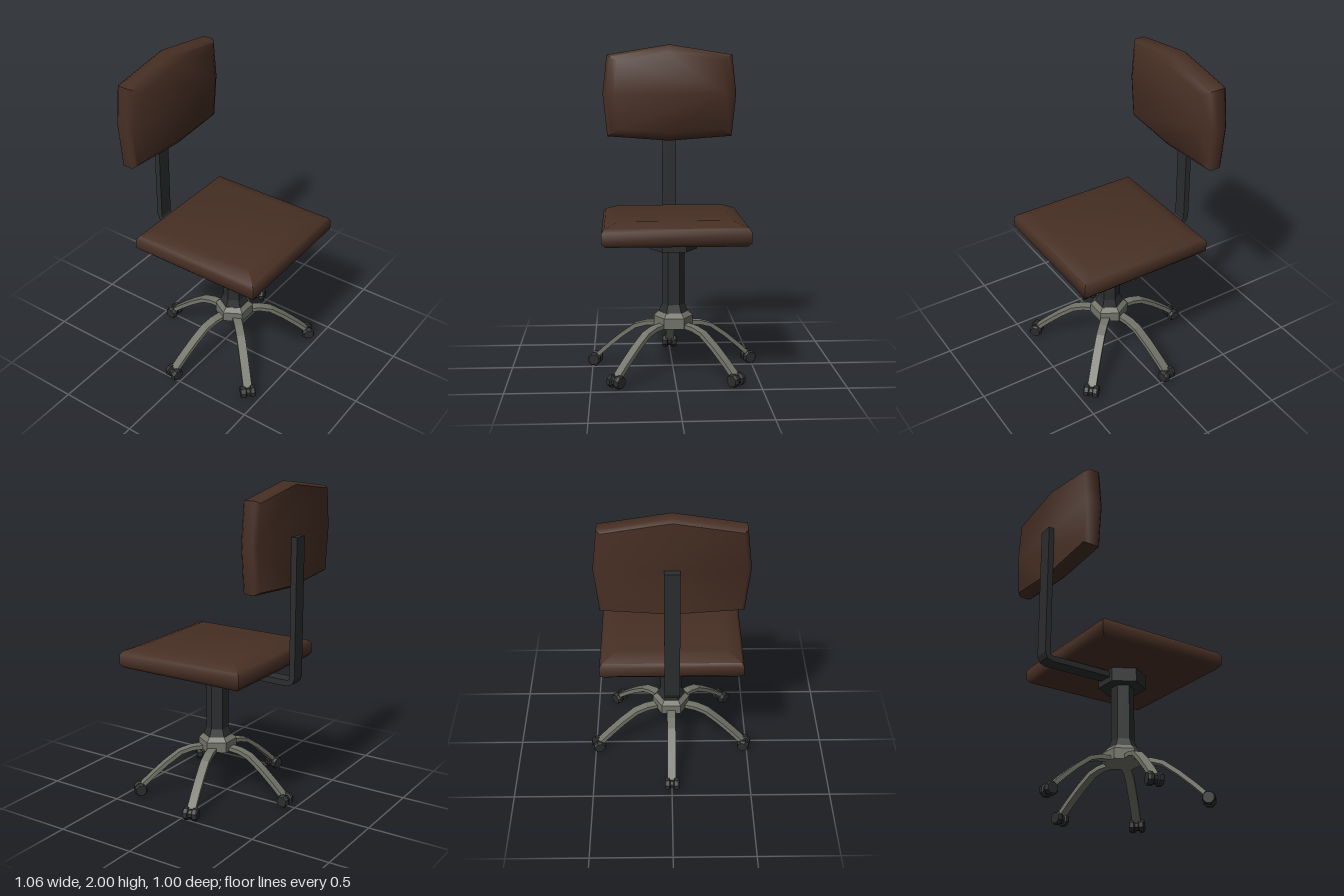
import * as THREE from 'three';
import { toCreasedNormals } from 'three/addons/utils/BufferGeometryUtils.js';

const CZ = 0.07; // z of the column axis

// Joins equal-sized rings of points into a closed solid with flat end caps.
function loft(rings, crease) {
  const pos = [];
  const tri = (...pts) => pts.forEach((p) => pos.push(p.x, p.y, p.z));
  const n = rings[0].length;
  for (let i = 0; i < rings.length - 1; i++) {
    for (let j = 0; j < n; j++) {
      const k = (j + 1) % n;
      const [a, b, c, d] = [rings[i][j], rings[i][k], rings[i + 1][k], rings[i + 1][j]];
      tri(a, b, c);
      tri(a, c, d);
    }
  }
  const first = rings[0], last = rings[rings.length - 1];
  for (let j = 1; j < n - 1; j++) {
    tri(first[0], first[j + 1], first[j]);
    tri(last[0], last[j], last[j + 1]);
  }
  const g = new THREE.BufferGeometry();
  g.setAttribute('position', new THREE.Float32BufferAttribute(pos, 3));
  return toCreasedNormals(g, crease);
}

// Cushion: an outline in xy, scaled about its origin at each [z, scale] layer.
function cushion(outline, layers) {
  return loft(layers.map(([z, s]) => outline.map(([x, y]) => new THREE.Vector3(x * s, y * s, z))), 0.85);
}

// Flat bar of half width w and half thickness t along a path of [z, y] points.
function strip(path, w, t) {
  const rings = path.map(([z, y], i) => {
    const p = path[Math.max(i - 1, 0)], q = path[Math.min(i + 1, path.length - 1)];
    const len = Math.hypot(q[0] - p[0], q[1] - p[1]);
    const nz = (-(q[1] - p[1]) / len) * t, ny = ((q[0] - p[0]) / len) * t;
    return [[w, 1], [-w, 1], [-w, -1], [w, -1]].map(([x, s]) => new THREE.Vector3(x, y + ny * s, z + nz * s));
  });
  return loft(rings, 0.1);
}

// Six-sided section with corners on the x axis.
function hex(rTop, rBottom, y0, y1) {
  const g = new THREE.CylinderGeometry(rTop, rBottom, y1 - y0, 6, 1, false, Math.PI / 6);
  g.translate(0, (y0 + y1) / 2, CZ);
  return toCreasedNormals(g, 0.1);
}

export function createModel() {
  const model = new THREE.Group();
  const material = (name, color) => {
    const m = new THREE.MeshStandardMaterial({ color });
    m.name = name;
    return m;
  };
  const brown = material('brown upholstery', 0x472f24);
  const black = material('black plastic', 0x2c2d2e);
  const metal = material('grey metal', 0x74756a);

  const add = (name, geometry, mat, parent = model) => {
    const mesh = new THREE.Mesh(geometry, mat);
    mesh.name = name;
    parent.add(mesh);
    return mesh;
  };

  // Seat: square cushion with a chamfered top
  const square = [[0.43, 0.43], [-0.43, 0.43], [-0.43, -0.43], [0.43, -0.43]];
  const seat = cushion(square, [[0.845, 0.95], [0.868, 1], [0.93, 1], [0.952, 0.965], [0.984, 0.765]]);
  seat.rotateX(-Math.PI / 2).translate(0, 0, CZ);
  add('seat', seat, brown);

  // Backrest: eight-sided cushion, peaked at the top
  const shield = [[0.43, 0], [0.402, 0.245], [0, 0.31], [-0.402, 0.245],
    [-0.43, 0], [-0.402, -0.275], [0, -0.305], [0.402, -0.275]];
  const back = cushion(shield, [[-0.467, 0.95], [-0.445, 1], [-0.38, 1], [-0.36, 0.95], [-0.33, 0.83]]);
  back.translate(0, 1.69, 0);
  add('backrest', back, brown);

  // Bent bar from under the seat up to the backrest
  add('backrestBar', strip([[-0.03, 0.813], [-0.455, 0.813], [-0.478, 0.822], [-0.487, 0.845], [-0.487, 1.69]],
    0.045, 0.018), black);

  // Column
  add('seatMount', hex(0.145, 0.145, 0.76, 0.85), black);
  add('column', hex(0.07, 0.07, 0.42, 0.76), black);
  add('columnFlare', hex(0.07, 0.092, 0.365, 0.42), black);
  add('hubTop', hex(0.092, 0.12, 0.345, 0.372), metal);
  add('hub', hex(0.12, 0.12, 0.28, 0.345), metal);

  // Five legs with twin-wheel casters
  const legGeometry = strip([[0.07, 0.296], [0.17, 0.289], [0.24, 0.268], [0.33, 0.203], [0.42, 0.126], [0.49, 0.06]],
    0.027, 0.013);
  const profile = [[0, -0.046], [0.034, -0.046], [0.041, -0.036], [0.041, -0.016], [0.03, -0.01],
    [0.03, 0.01], [0.041, 0.016], [0.041, 0.036], [0.034, 0.046], [0, 0.046]];
  const wheel = new THREE.LatheGeometry(profile.map(([r, y]) => new THREE.Vector2(r, y)), 8, Math.PI / 8);
  wheel.rotateZ(Math.PI / 2).translate(0, 0.039, 0.5);
  const casterGeometry = toCreasedNormals(wheel, 0.1);
  for (const degrees of [45, 105, 180, 255, 315]) {
    const leg = new THREE.Group();
    leg.name = 'legWithCaster';
    leg.position.z = CZ;
    leg.rotation.y = THREE.MathUtils.degToRad(degrees);
    add('leg', legGeometry, metal, leg);
    add('caster', casterGeometry, black, leg);
    model.add(leg);
  }
  return model;
}
